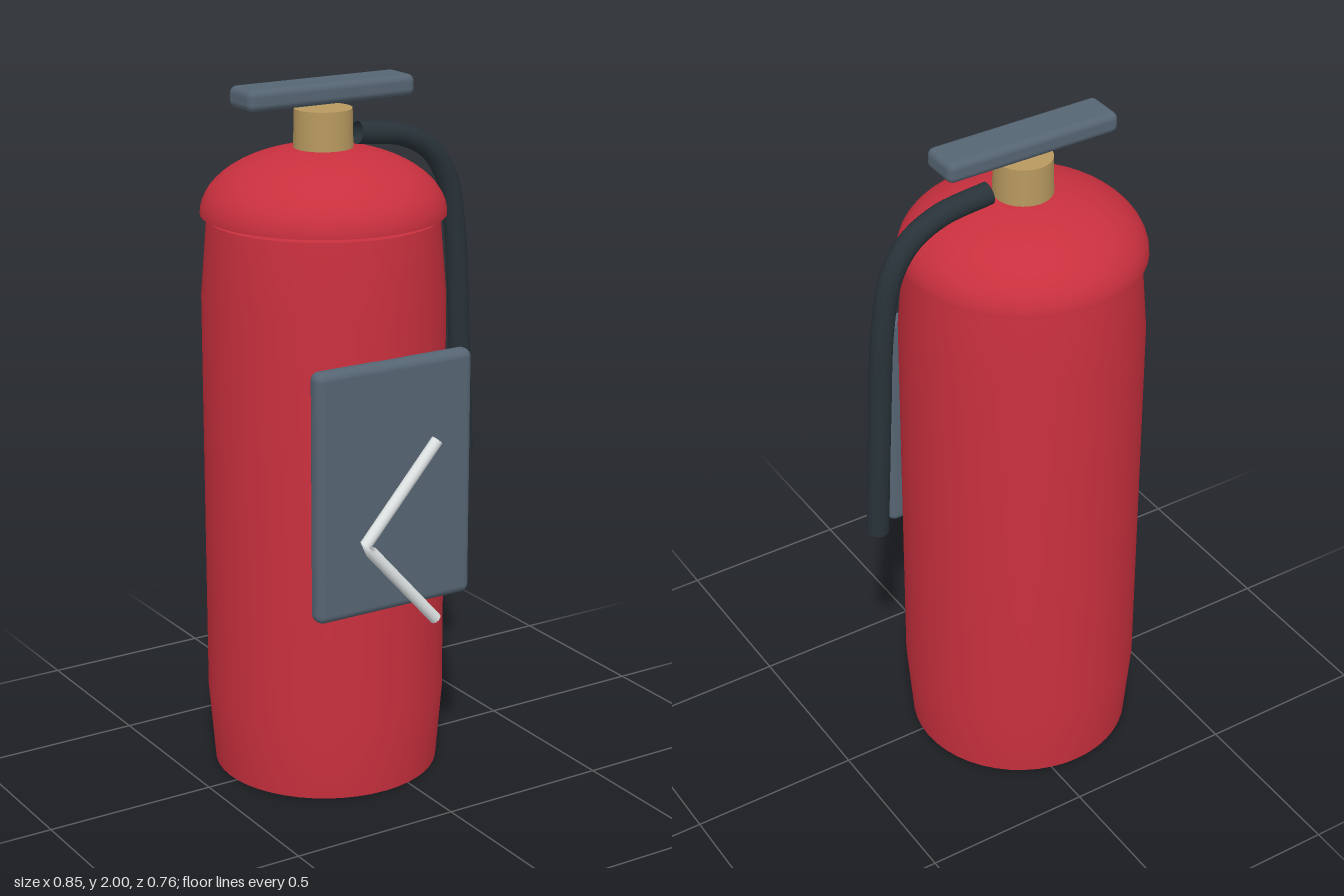
import * as THREE from 'three';
import { RoundedBoxGeometry } from 'three/addons/geometries/RoundedBoxGeometry.js';

const CX = -0.085, CZ = -0.036; // axis of the cylinder

const mat = (color, side = THREE.FrontSide) => new THREE.MeshStandardMaterial({ color, side });
const v3 = ([x, y], z) => new THREE.Vector3(x, y, z);

export function createModel() {
  const group = new THREE.Group();
  const red = mat(0xc9303e, THREE.DoubleSide);
  const slate = mat(0x566573);
  const brass = mat(0xb8995f);
  const rubber = mat(0x283238, THREE.DoubleSide);
  const pale = mat(0xdfe4e4, THREE.DoubleSide);

  const add = (name, geometry, material, x = 0, y = 0, z = 0) => {
    const mesh = new THREE.Mesh(geometry, material);
    mesh.name = name;
    mesh.position.set(x, y, z);
    group.add(mesh);
    return mesh;
  };

  // Tank wall: straight middle with tapered ends; repeated points keep the rims sharp
  const profile = [[0, 0], [0.325, 0], [0.325, 0], [0.343, 0.22], [0.343, 1.4], [0.325, 1.62], [0.325, 1.62], [0, 1.62]];
  add('tank', new THREE.LatheGeometry(profile.map(([r, y]) => new THREE.Vector2(r, y)), 48), red, CX, 0, CZ);

  // Open flattened half sphere, floating just above the tank
  const dome = new THREE.SphereGeometry(0.343, 48, 16, 0, Math.PI * 2, 0, Math.PI / 2);
  dome.scale(1, 0.55, 1);
  add('dome', dome, red, CX, 1.632, CZ);

  // Valve neck and lever
  add('valveNeck', new THREE.CylinderGeometry(0.081, 0.085, 0.22, 32), brass, CX, 1.813, CZ);
  add('lever', new RoundedBoxGeometry(0.53, 0.06, 0.122, 4, 0.02), slate, CX, 1.97, CZ);

  // Hose curling over the shoulder and down the side
  const hosePath = new THREE.CatmullRomCurve3([
    [0.024, 1.843], [0.175, 1.822], [0.268, 1.772], [0.326, 1.685], [0.357, 1.53], [0.374, 1.25], [0.392, 0.862],
  ].map((p) => v3(p, CZ)));
  add('hose', new THREE.TubeGeometry(hosePath, 48, 0.032, 16), rubber);

  // Front plate with a bent rod mounted on it
  add('frontPlate', new RoundedBoxGeometry(0.5, 0.715, 0.057, 4, 0.024), slate, -0.083, 0.933, 0.312);
  const [top, bend, bottom] = [[0.035, 1.055], [-0.198, 0.792], [0.035, 0.53]].map((p) => v3(p, 0.36));
  const rodPath = new THREE.CurvePath();
  rodPath.add(new THREE.LineCurve3(top, bend));
  rodPath.add(new THREE.LineCurve3(bend, bottom));
  add('bentRod', new THREE.TubeGeometry(rodPath, 24, 0.017, 12), pale);

  return group;
}
